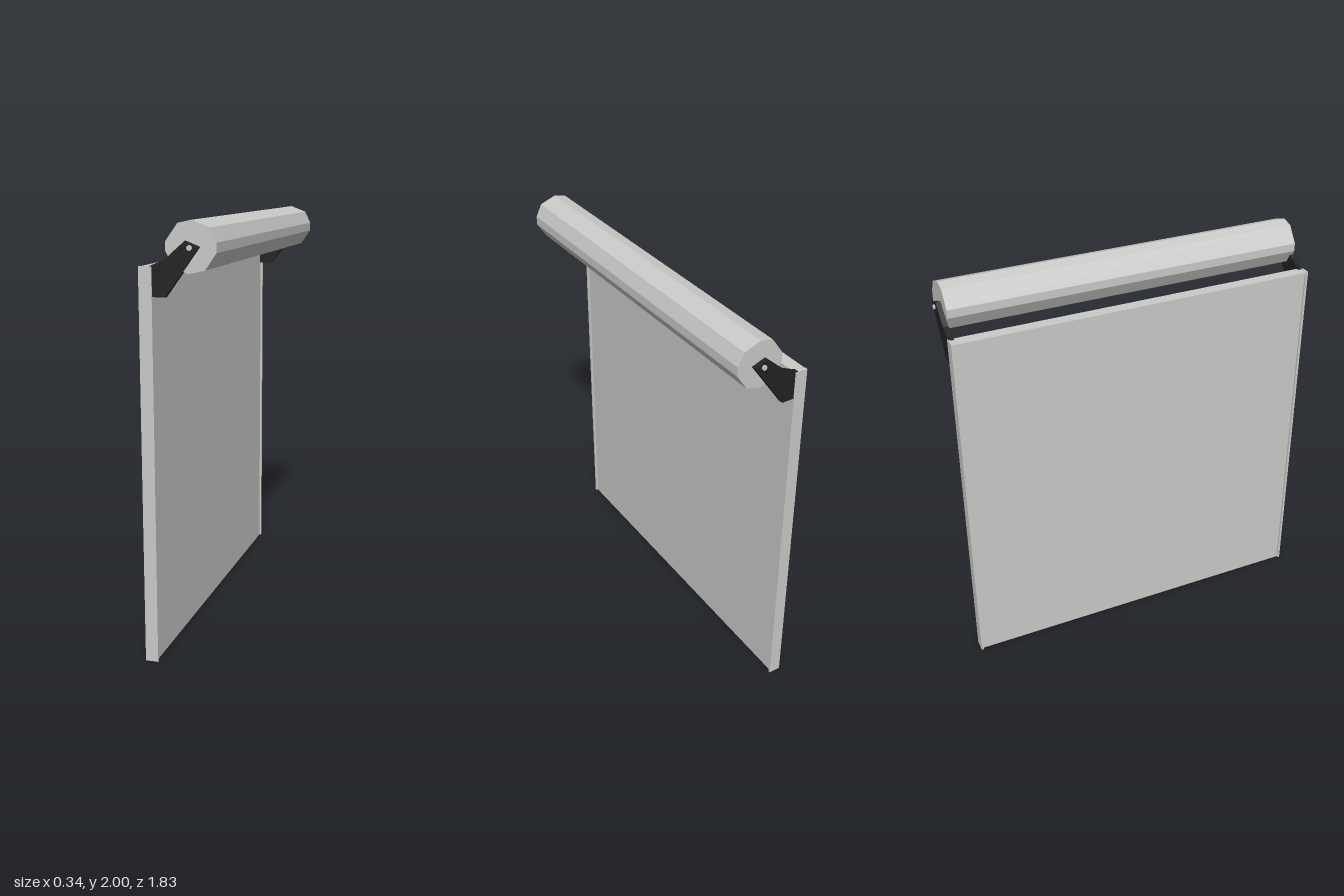
import * as THREE from 'three';

const material = (name, color) => {
  const m = new THREE.MeshStandardMaterial({ color });
  m.name = name;
  return m;
};

export function createModel() {
  const root = new THREE.Group();
  root.name = 'rollerDoor';
  const steel = material('paleGreySteel', 0xcacac8);
  const black = material('blackBracket', 0x222222);

  const add = (name, geometry, mat, x = 0, y = 0, z = 0) => {
    const mesh = new THREE.Mesh(geometry, mat);
    mesh.name = name;
    mesh.position.set(x, y, z);
    root.add(mesh);
    return mesh;
  };

  // Extrudes an x-y outline from z0 to z1
  const prism = (points, z0, z1) => {
    const shape = new THREE.Shape(points.map(([x, y]) => new THREE.Vector2(x, y)));
    return new THREE.ExtrudeGeometry(shape, { depth: z1 - z0, bevelEnabled: false }).translate(0, 0, z0);
  };

  // Door curtain with a top lip, slightly recessed between the side rails
  const doorX = -0.145;
  add('doorPanel', new THREE.BoxGeometry(0.04, 1.79, 1.8), steel, doorX, 0.895, 0);
  add('topLip', new THREE.BoxGeometry(0.06, 0.012, 1.8), steel, doorX, 1.796, 0);

  // Faceted roller drum
  const drum = [
    [0.06, 2.0], [0.0, 1.987], [-0.055, 1.91], [-0.055, 1.87], [-0.02, 1.805],
    [0.045, 1.775], [0.12, 1.792], [0.17, 1.865], [0.17, 1.908], [0.14, 1.97],
  ];
  add('rollerDrum', prism(drum, -0.883, 0.898), steel);

  // Rails, angled brackets and axle pins at both ends
  const bracket = [
    [-0.13, 1.675], [-0.055, 1.675], [0.1, 1.89], [0.035, 1.915],
    [-0.057, 1.835], [-0.115, 1.81], [-0.13, 1.805],
  ];
  for (const [side, s] of [['front', 1], ['back', -1]]) {
    add(side + 'Rail', new THREE.BoxGeometry(0.06, 1.805, 0.012), steel, doorX, 0.9025, s * 0.903);
    add(side + 'Bracket', prism(bracket, -0.012, 0.012), black, 0, 0, s * 0.894);
    const pin = add(side + 'AxlePin', new THREE.CylinderGeometry(0.012, 0.012, 0.04, 8), steel, 0.055, 1.885, s * 0.894);
    pin.rotation.x = Math.PI / 2;
  }
  return root;
}
